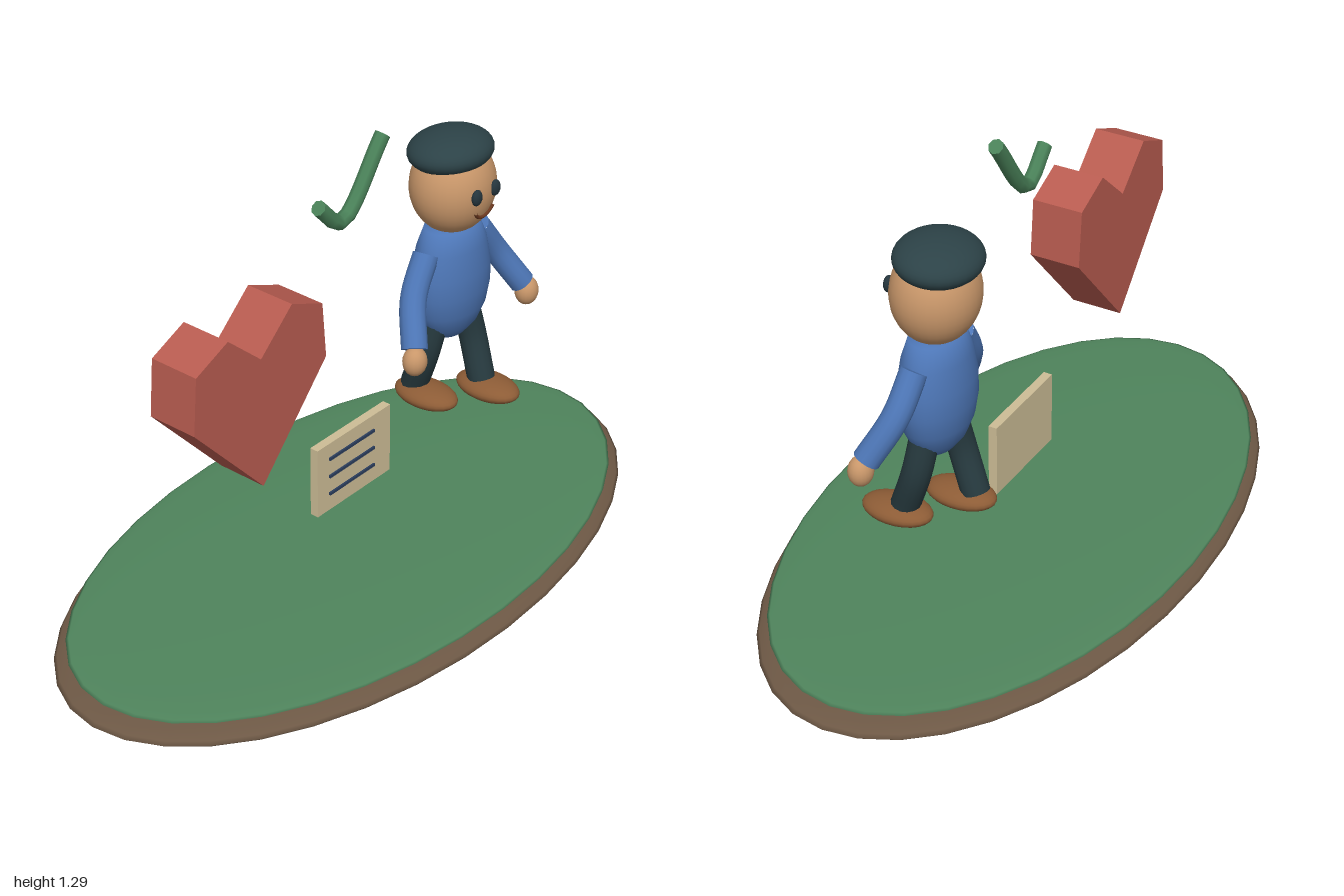
import * as THREE from 'three';

const paint = (color, side = THREE.FrontSide) => new THREE.MeshStandardMaterial({ color, side });
const SOIL = paint(0x6d5845), GRASS = paint(0x4f845c), RED = paint(0xb85c50), TICK = paint(0x4a8259, THREE.DoubleSide);
const CARD = paint(0xcdbd96), INK = paint(0x2b3d5c), SKIN = paint(0xc9976a), HAT = paint(0x2c4247);
const SHIRT = paint(0x4d76b6), TROUSERS = paint(0x26393e), SHOE = paint(0x8d5c36), EYE = paint(0x25353d), LIP = paint(0x6e3a20);

const CX = 0.42; // x of the figure

function add(parent, name, geometry, material, x = 0, y = 0, z = 0) {
  const mesh = new THREE.Mesh(geometry, material);
  mesh.name = name;
  mesh.position.set(x, y, z);
  parent.add(mesh);
  return mesh;
}

// Ellipsoid given by its centre and half sizes
function blob(parent, name, material, [x, y, z], [rx, ry, rz], segs = 32) {
  const mesh = add(parent, name, new THREE.SphereGeometry(1, segs, Math.round(segs * 0.6)), material, x, y, z);
  mesh.scale.set(rx, ry, rz);
  return mesh;
}

// Round bar along a smooth path, closed by a disc at each end
function bar(parent, name, material, points, radius, steps = 14, sides = 14) {
  const group = new THREE.Group();
  group.name = name;
  const curve = new THREE.CatmullRomCurve3(points.map(p => new THREE.Vector3(...p)));
  add(group, name + 'Tube', new THREE.TubeGeometry(curve, steps, radius, sides), material);
  for (const t of [0, 1]) {
    const end = curve.getPointAt(t);
    const out = curve.getTangentAt(t).multiplyScalar(t ? 1 : -1);
    const cap = add(group, name + 'End', new THREE.CircleGeometry(radius, sides), material, end.x, end.y, end.z);
    cap.lookAt(end.clone().add(out));
  }
  parent.add(group);
}

function buildHeart(parent) {
  const right = [[0, 0.52], [0.245, 0.79], [0.232, 0.95], [0.117, 1.0], [0, 0.895]];
  const left = right.slice(1, 4).reverse().map(([x, y]) => [-x, y]);
  const shape = new THREE.Shape([...right, ...left].map(p => new THREE.Vector2(...p)));
  const geometry = new THREE.ExtrudeGeometry(shape, { depth: 0.145, bevelEnabled: false });
  add(parent, 'heart', geometry, RED, -0.428, 0, -0.0725);
}

function buildSign(parent) {
  const sign = new THREE.Group();
  sign.name = 'sign';
  add(sign, 'signBoard', new THREE.BoxGeometry(0.3, 0.21, 0.025), CARD, 0, 0.352, 0);
  for (const y of [0.41, 0.355, 0.3]) {
    add(sign, 'signLine', new THREE.BoxGeometry(0.185, 0.008, 0.008), INK, -0.012, y, 0.014);
  }
  parent.add(sign);
}

function buildFigure(parent) {
  const figure = new THREE.Group();
  figure.name = 'figure';
  figure.position.x = CX;

  // Torso: lathe flattened front to back
  const profile = [[0, 0.553], [0.055, 0.566], [0.092, 0.6], [0.118, 0.65], [0.13, 0.71], [0.129, 0.77], [0.115, 0.84], [0.09, 0.9], [0, 0.902]];
  const torso = add(figure, 'torso', new THREE.LatheGeometry(profile.map(p => new THREE.Vector2(...p)), 32), SHIRT);
  torso.scale.z = 0.7;

  // Head, hat and face
  blob(figure, 'head', SKIN, [0, 1.015, 0], [0.123, 0.135, 0.114]);
  blob(figure, 'hat', HAT, [0, 1.114, -0.01], [0.124, 0.057, 0.112]).rotation.x = -0.08;
  const mouth = add(figure, 'mouth', new THREE.TorusGeometry(0.04, 0.005, 8, 16, Math.PI * 0.75), LIP, 0, 0.99, 0.11);
  mouth.rotation.set(0.2, 0, Math.PI * 1.125);

  for (const s of [-1, 1]) {
    blob(figure, 'eye', EYE, [s * 0.039, 1.024, 0.111], [0.018, 0.023, 0.012], 16);

    // Arms, both swung slightly forward
    bar(figure, 'arm', SHIRT, [[s * 0.11, 0.845, 0], [s * 0.178, 0.745, 0.014], [s * 0.236, 0.635, 0.066]], 0.036);
    blob(figure, 'hand', SKIN, [s * 0.246, 0.607, 0.076], [0.035, 0.042, 0.033], 20);

    // Legs in a stride, the left one leading
    const ankle = s > 0 ? 0.062 : -0.066;
    bar(figure, 'leg', TROUSERS, [[s * 0.06, 0.64, 0], [s * 0.08, 0.52, ankle * 0.3], [s * 0.068, 0.4, ankle]], 0.039);
    blob(figure, 'shoe', SHOE, [s * 0.07, 0.381, s > 0 ? 0.084 : -0.022], [0.063, 0.032, 0.1], 24);
  }
  parent.add(figure);
}

export function createModel() {
  const model = new THREE.Group();
  model.name = 'model';

  // Oval island
  blob(model, 'soil', SOIL, [0, 0.06, 0], [1, 0.06, 0.545], 36);
  blob(model, 'grass', GRASS, [0, 0.105, 0], [0.96, 0.02, 0.523], 36);

  // Floating items and the walking figure
  buildHeart(model);
  buildSign(model);
  bar(model, 'checkMark', TICK, [[-0.125, 1.165, 0], [-0.035, 1.09, 0], [0.125, 1.275, 0]], 0.021, 10, 8);
  buildFigure(model);
  return model;
}
